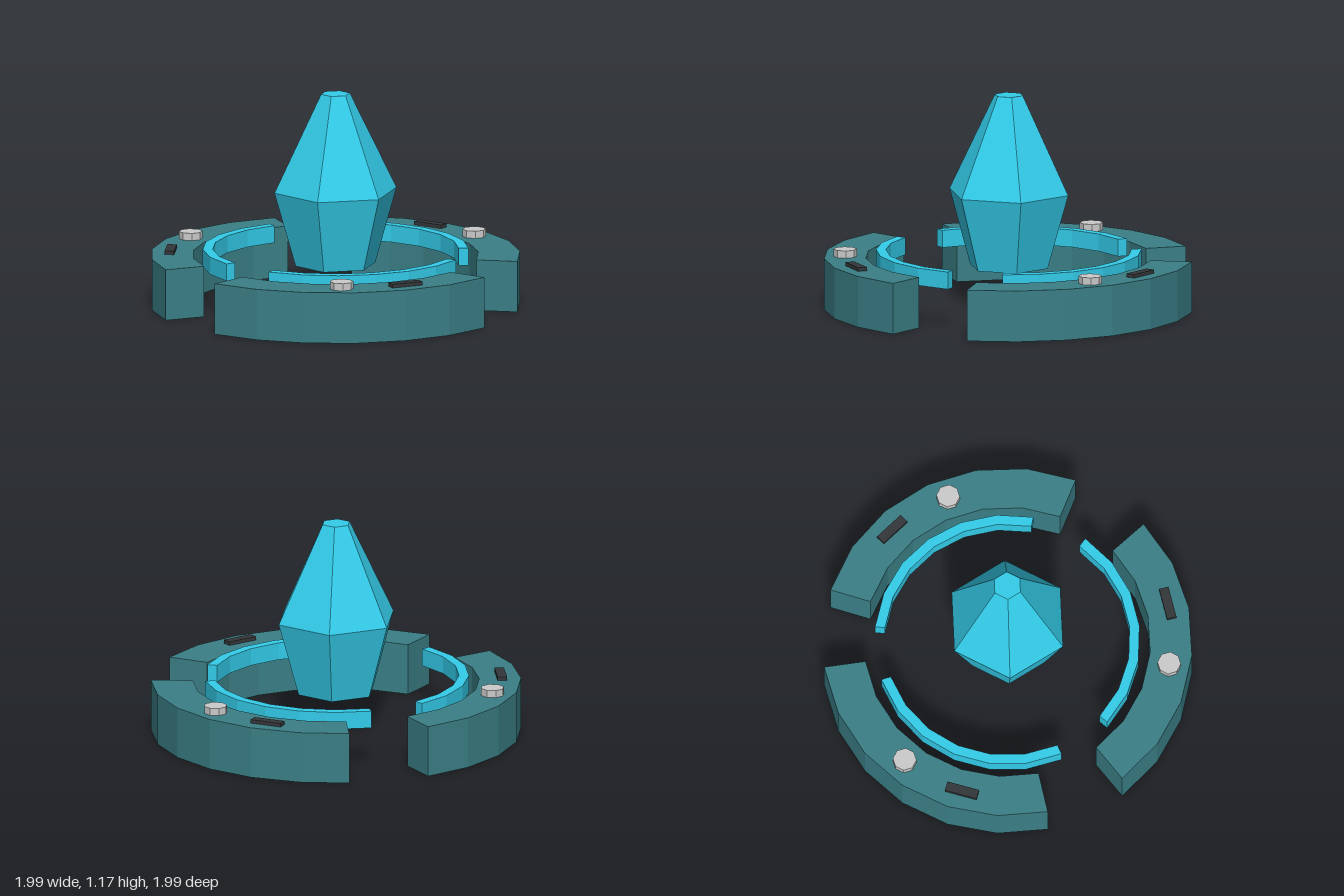
import * as THREE from 'three';

const rad = THREE.MathUtils.degToRad;
const material = (color) => new THREE.MeshStandardMaterial({ color, flatShading: true });

// Faceted arc block: angles run from +x towards +z
function arcGeometry(inner, outer, bottom, top, centre, span, steps = 6) {
  const points = [];
  const add = (r, i) => {
    const a = rad(centre + span * (i / steps - 0.5));
    points.push(new THREE.Vector2(r * Math.cos(a), r * Math.sin(a)));
  };
  for (let i = 0; i <= steps; i++) add(outer, i);
  for (let i = steps; i >= 0; i--) add(inner, i);
  return new THREE.ExtrudeGeometry(new THREE.Shape(points), { depth: top - bottom, bevelEnabled: false })
    .rotateX(Math.PI / 2)
    .translate(0, top, 0);
}

export function createModel() {
  const model = new THREE.Group();
  const stone = material(0x3a7f86);
  const glow = material(0x33ccea);
  const metal = material(0xcccccc);
  const dark = material(0x34373a);

  const addMesh = (name, geometry, mat, parent = model) => {
    const mesh = new THREE.Mesh(geometry, mat);
    mesh.name = name;
    parent.add(mesh);
    return mesh;
  };

  // Floating six-sided crystal
  const profile = [[0, 0.225], [0.222, 0.225], [0.34, 0.635], [0.08, 1.17], [0, 1.17]]
    .map(([r, y]) => new THREE.Vector2(r, y));
  addMesh('crystal', new THREE.LatheGeometry(profile, 6), glow);

  // Three broken ring sectors, each with a glowing inner band, a bolt and a slot
  for (let i = 0; i < 3; i++) {
    const turn = i * 120;
    const sector = new THREE.Group();
    sector.name = 'ringSector';
    model.add(sector);

    addMesh('ringBlock', arcGeometry(0.776, 1.003, 0, 0.28, 67 + turn, 94.3), stone, sector);
    addMesh('innerBand', arcGeometry(0.666, 0.72, 0.22, 0.315, 56.1 + turn, 95.4), glow, sector);

    const boltAngle = rad(71.3 + turn);
    const bolt = addMesh('bolt', new THREE.CylinderGeometry(0.064, 0.064, 0.06, 8), metal, sector);
    bolt.position.set(0.887 * Math.cos(boltAngle), 0.29, 0.887 * Math.sin(boltAngle));
    bolt.rotation.y = Math.PI / 8;

    const slotAngle = rad(48.4 + turn);
    const slot = addMesh('slot', new THREE.BoxGeometry(0.052, 0.04, 0.178), dark, sector);
    slot.position.set(0.896 * Math.cos(slotAngle), 0.28, 0.896 * Math.sin(slotAngle));
    slot.rotation.y = -slotAngle;
  }
  return model;
}
